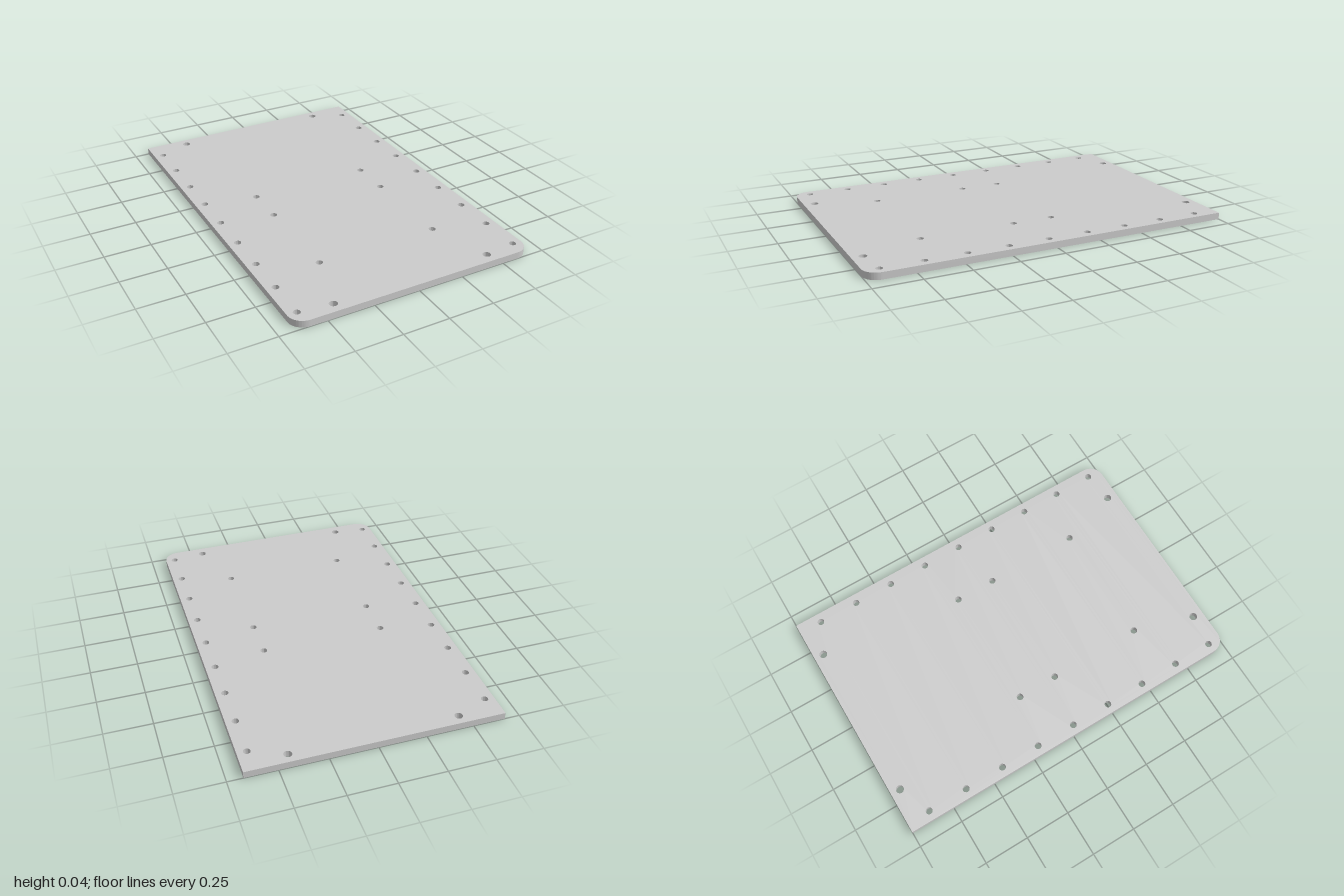
import * as THREE from 'three';
import { toCreasedNormals } from 'three/addons/utils/BufferGeometryUtils.js';

const HALF_W = 0.67, HALF_L = 1, THICK = 0.037, CORNER = 0.08;

// Flat outline drawn in x and z: square back corners, rounded front corners
function plateOutline() {
  const s = new THREE.Shape();
  s.moveTo(-HALF_W, -HALF_L);
  s.lineTo(HALF_W, -HALF_L);
  s.lineTo(HALF_W, HALF_L - CORNER);
  s.absarc(HALF_W - CORNER, HALF_L - CORNER, CORNER, 0, Math.PI / 2, false);
  s.lineTo(-HALF_W + CORNER, HALF_L);
  s.absarc(-HALF_W + CORNER, HALF_L - CORNER, CORNER, Math.PI / 2, Math.PI, false);
  s.closePath();
  return s;
}

export function createModel() {
  const group = new THREE.Group();
  group.name = 'drilledPlate';
  const outline = plateOutline();

  // Each hole is mirrored to both sides
  const drillPair = (x, z, r) => {
    for (const side of [-1, 1]) {
      const hole = new THREE.Path();
      hole.absarc(side * x, z, r, 0, Math.PI * 2, true);
      outline.holes.push(hole);
    }
  };

  // Rows along the long edges
  for (let i = 0; i < 9; i++) drillPair(0.619, -0.87 + i * 0.2237, 0.0185);
  // Inner mounting holes
  for (const z of [-0.14, 0.084, 0.608]) drillPair(0.336, z, 0.0185);
  // Larger holes near the back and front edges
  for (const z of [-0.947, 0.941]) drillPair(0.44, z, 0.0215);

  // Lay the plate flat, standing on y = 0
  const geometry = new THREE.ExtrudeGeometry(outline, {
    depth: THICK, bevelEnabled: false, curveSegments: 16,
  });
  geometry.rotateX(Math.PI / 2);
  geometry.translate(0, THICK, 0);

  const plate = new THREE.Mesh(
    toCreasedNormals(geometry, 0.7),
    new THREE.MeshStandardMaterial({ color: 0xcccccc }),
  );
  plate.name = 'plate';
  group.add(plate);
  return group;
}
